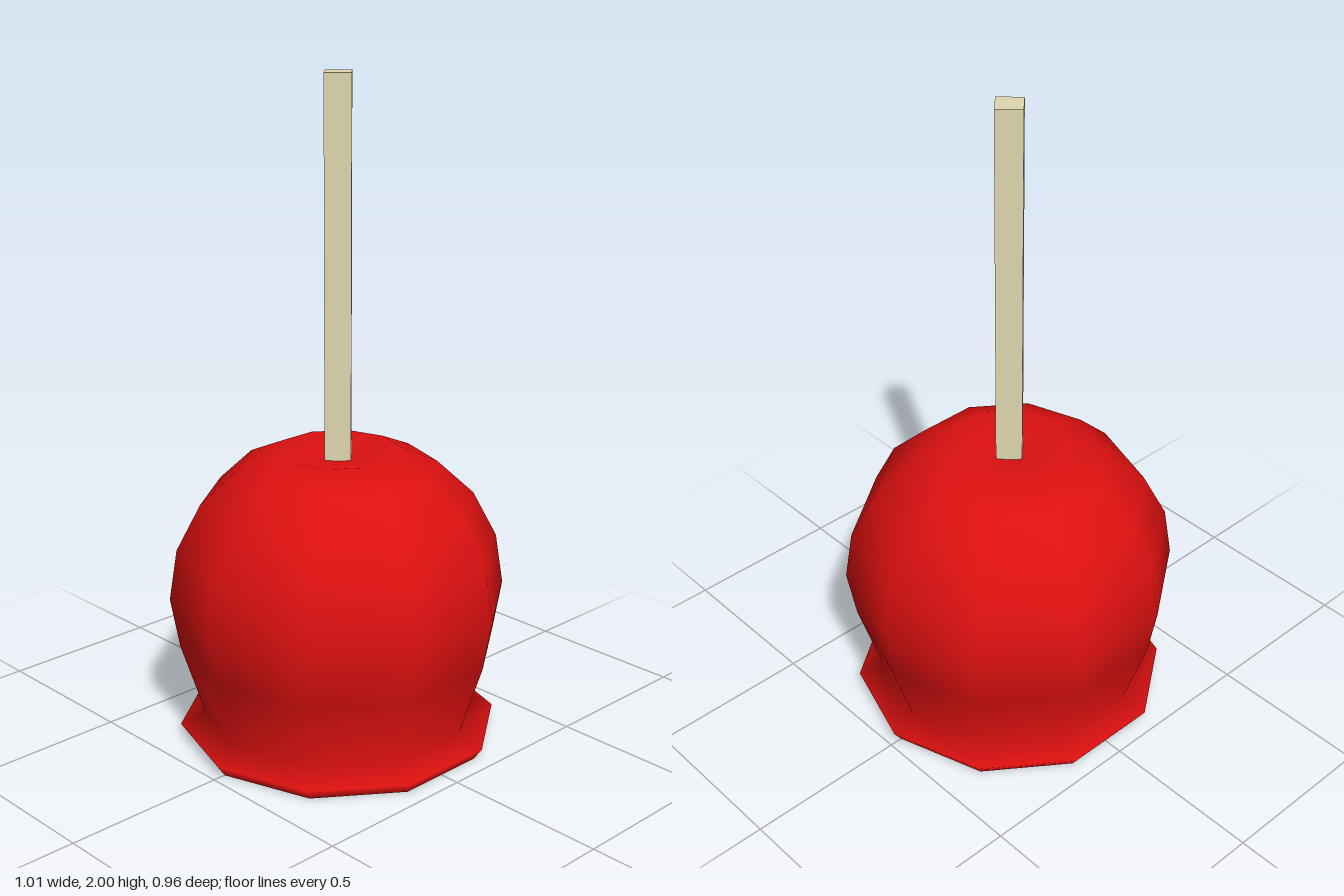
import * as THREE from 'three';

const SIDES = 10;

export function createModel() {
  const group = new THREE.Group();
  const candy = new THREE.MeshStandardMaterial({ color: 0xdd1010 });
  const wood = new THREE.MeshStandardMaterial({ color: 0xe0d8b0, flatShading: true });

  const add = (name, geometry, material, y = 0) => {
    const mesh = new THREE.Mesh(geometry, material);
    mesh.name = name;
    mesh.position.y = y;
    group.add(mesh);
    return mesh;
  };

  // Coated apple: flared lip at the foot, round body, shallow dip on top
  const profile = [
    [0.46, 0], [0.485, 0.036], [0.41, 0.075], [0.48, 0.295], [0.507, 0.45],
    [0.483, 0.605], [0.41, 0.745], [0.298, 0.85], [0.185, 0.9], [0, 0.87],
  ].map(([r, y]) => new THREE.Vector2(r, y));
  add('candyApple', new THREE.LatheGeometry(profile, SIDES, Math.PI / 2), candy);

  // Flat underside
  const base = new THREE.CircleGeometry(0.46, SIDES).rotateX(Math.PI / 2);
  add('appleBase', base, candy);

  // Square stick, turned so its edges face front and sides
  const bottom = 0.8;
  add('stick', new THREE.CylinderGeometry(0.055, 0.055, 2 - bottom, 4), wood, (2 + bottom) / 2);

  return group;
}
